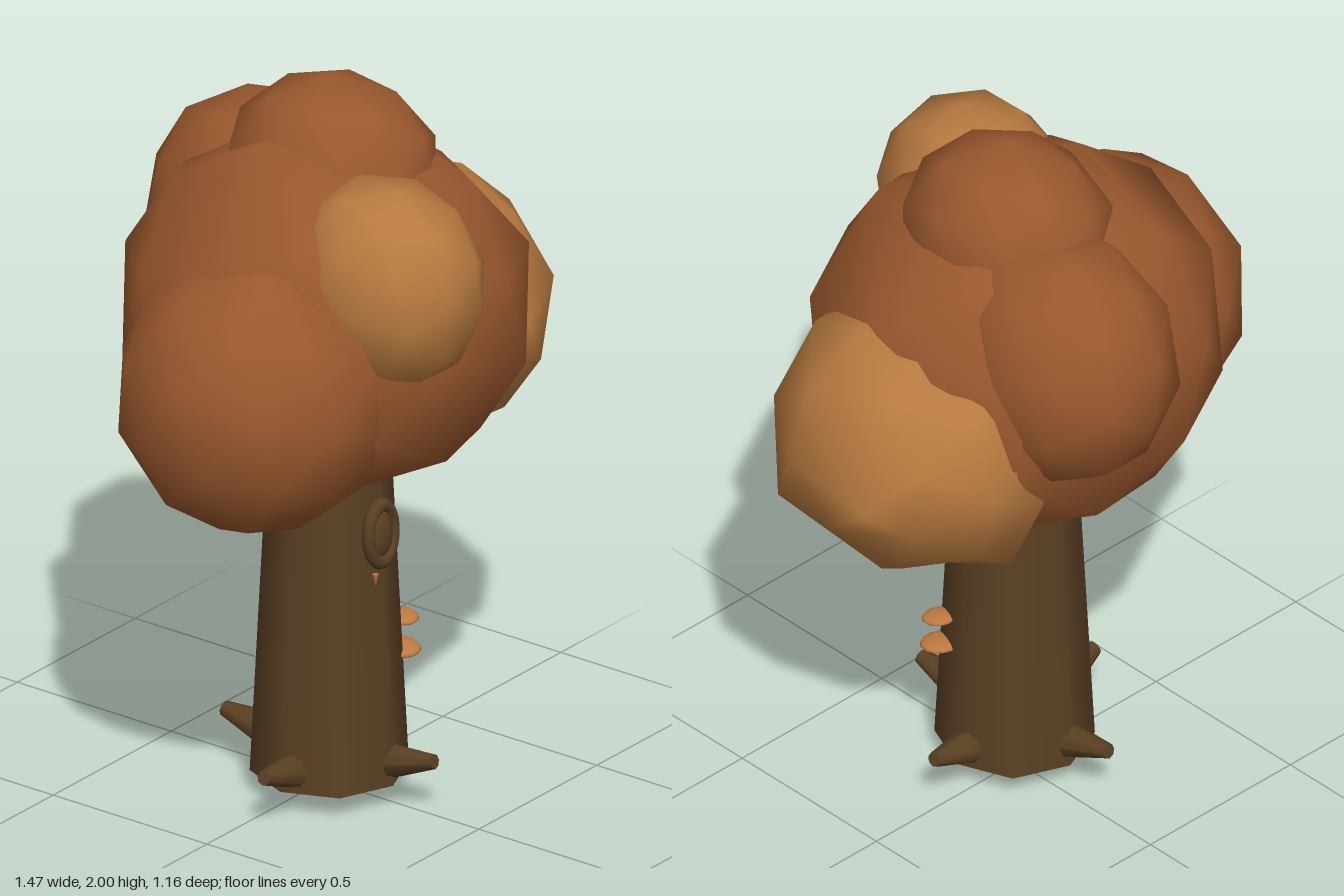
import * as THREE from 'three';
import { mergeVertices } from 'three/addons/utils/BufferGeometryUtils.js';

const mat = (name, color) => {
  const m = new THREE.MeshStandardMaterial({ color });
  m.name = name;
  return m;
};

export function createModel() {
  const bark = mat('bark', 0x5a4023);
  const leaf = mat('russet leaves', 0x9a582e);
  const goldLeaf = mat('golden leaves', 0xb87a40);
  const fungus = mat('fungus', 0xc07a42);

  const tree = new THREE.Group();
  tree.name = 'tree';
  const add = (name, geometry, material, parent = tree) => {
    const mesh = new THREE.Mesh(geometry, material);
    mesh.name = name;
    parent.add(mesh);
    return mesh;
  };

  // Foliage clump: a low-poly ball with smooth normals, swollen by a factor and
  // flattened against its bounds, with a few corners pulled out to given points
  const clump = (name, material, min, max, turn, swell, corners = []) => {
    let g = new THREE.IcosahedronGeometry(1, 1);
    g.deleteAttribute('uv');
    g.deleteAttribute('normal');
    g = mergeVertices(g, 1e-4);
    g.applyMatrix4(new THREE.Matrix4().makeRotationFromEuler(new THREE.Euler(...turn)));
    const lo = new THREE.Vector3(...min), hi = new THREE.Vector3(...max);
    const center = lo.clone().add(hi).multiplyScalar(0.5);
    const half = hi.clone().sub(lo).multiplyScalar(0.5 * swell);
    const pos = g.attributes.position;
    const points = [];
    for (let i = 0; i < pos.count; i++) {
      points.push(new THREE.Vector3().fromBufferAttribute(pos, i).multiply(half).add(center).clamp(lo, hi));
    }
    for (const c of corners) {
      const target = new THREE.Vector3(...c);
      points.reduce((a, b) => (b.distanceTo(target) < a.distanceTo(target) ? b : a)).copy(target);
    }
    points.forEach((p, i) => pos.setXYZ(i, p.x, p.y, p.z));
    g.computeVertexNormals();
    add(name, g, material);
  };
  clump('mainFoliage', leaf, [-0.51, 0.9, -0.48], [0.49, 1.83, 0.5], [0.25, 0.4, 0.2], 1.11,
    [[-0.22, 1.88, -0.02], [0.47, 1.62, 0.02], [-0.5, 1.64, 0.02]]);
  clump('rightFoliage', leaf, [-0.735, 0.9, -0.28], [-0.03, 1.64, 0.42], [0.2, 0.3, 0.25], 1.06);
  clump('leftFoliage', goldLeaf, [-0.02, 0.89, -0.385], [0.69, 1.62, 0.39], [0.3, 0.25, 0.1], 1.04,
    [[0.73, 1.26, -0.19], [0.65, 1.08, 0.21], [0.25, 0.89, -0.24], [0.53, 0.92, -0.05], [0.36, 1.27, 0.39]]);
  clump('frontFoliage', goldLeaf, [-0.385, 1.295, 0.06], [0.06, 1.83, 0.58], [0.2, 0.3, 0], 1.08);
  clump('backFoliage', leaf, [-0.17, 1.17, -0.58], [0.37, 1.83, 0.05], [0.3, 0.2, 0.1], 1.08);
  clump('topFoliage', leaf, [-0.215, 1.48, -0.275], [0.275, 1.96, 0.275], [0, 0.3, 0], 1.1,
    [[0.02, 2, 0]]);

  // Trunk with all its fittings, standing slightly off centre
  const base = new THREE.Group();
  base.name = 'trunkGroup';
  base.position.set(-0.03, 0, 0.037);
  tree.add(base);
  const trunk = add('trunk', new THREE.CylinderGeometry(0.16, 0.207, 0.935, 8), bark, base);
  trunk.position.y = 0.065 + 0.935 / 2;

  // Four tapering roots pointing out and slightly up
  for (let i = 0; i < 4; i++) {
    const a = i * Math.PI / 2 + 0.1;
    const from = new THREE.Vector3(0, 0.085, 0);
    const to = new THREE.Vector3(Math.cos(a) * 0.32, 0.153, Math.sin(a) * -0.32);
    const dir = to.clone().sub(from);
    const root = add('root', new THREE.CylinderGeometry(0.02, 0.085, dir.length(), 8), bark, base);
    root.position.copy(from).add(to).multiplyScalar(0.5);
    root.quaternion.setFromUnitVectors(new THREE.Vector3(0, 1, 0), dir.normalize());
  }

  // Oval knot: outer ring and a raised heart
  const knot = new THREE.Group();
  knot.name = 'knot';
  knot.position.set(0, 0.77, 0.168);
  knot.rotation.x = -0.05;
  base.add(knot);
  add('knotRing', new THREE.TorusGeometry(0.053, 0.014, 8, 24), bark, knot).scale.set(1, 1.48, 1.3);
  add('knotHeart', new THREE.SphereGeometry(0.042, 16, 10), bark, knot).scale.set(1, 1.55, 0.5);
  const plate = add('knotPlate', new THREE.CylinderGeometry(0.053, 0.053, 0.012, 24), bark, knot);
  plate.rotation.x = Math.PI / 2;
  plate.scale.z = 1.48;

  // Bracket fungi on the front corner, and a sliver under the knot
  for (const [x, y, z, r] of [[0.136, 0.46, 0.145, 0.046], [0.13, 0.375, 0.145, 0.055]]) {
    const bracket = add('bracketFungus', new THREE.SphereGeometry(r, 14, 8), fungus);
    bracket.position.set(x, y, z);
    bracket.scale.y = 0.26;
    bracket.rotation.x = 0.14;
  }
  const sliver = add('sliver', new THREE.ConeGeometry(0.009, 0.035, 6), fungus);
  sliver.position.set(-0.062, 0.65, 0.212);
  sliver.rotation.z = Math.PI;

  return tree;
}
